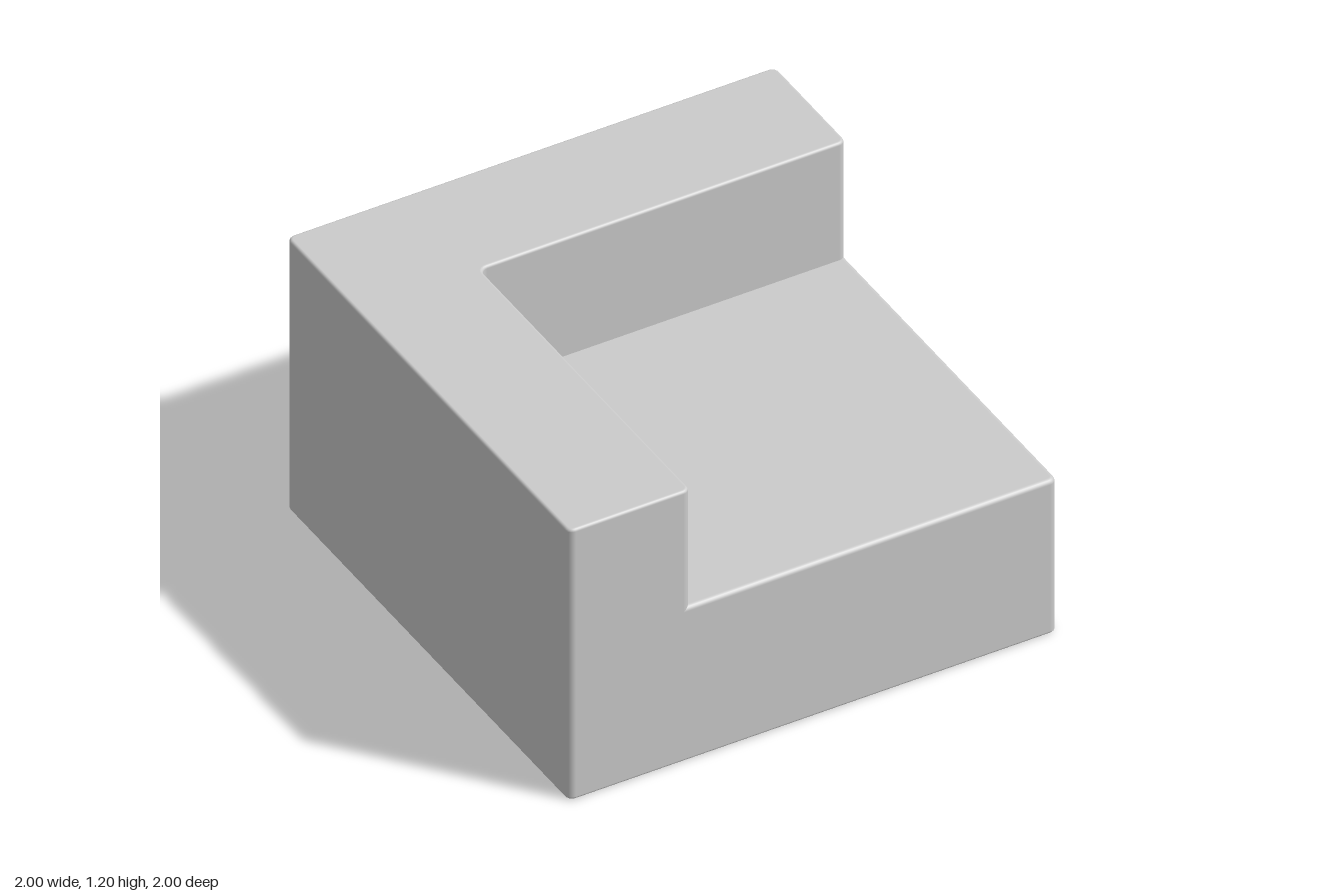
import * as THREE from 'three';

const STEPS = 5;

// Rounded outline from right-angled corners [x, z, radius], as points with outward normals.
function roundedOutline(corners) {
  const n = corners.length;
  const points = [];
  const corner = i => new THREE.Vector2(corners[(i + n) % n][0], corners[(i + n) % n][1]);
  for (let i = 0; i < n; i++) {
    const p = corner(i), r = corners[i][2];
    const d1 = p.clone().sub(corner(i - 1)).normalize();
    const d2 = corner(i + 1).sub(p).normalize();
    const side = Math.sign(d1.cross(d2));
    const centre = p.clone().addScaledVector(d1, -r).addScaledVector(d2, r);
    for (let k = 0; k <= STEPS; k++) {
      const t = (k / STEPS) * Math.PI / 2, c = Math.cos(t), s = Math.sin(t);
      const normal = new THREE.Vector2(d1.y * c + d2.y * s, -d1.x * c - d2.x * s);
      points.push({ p: centre.clone().addScaledVector(normal, side * r), normal });
    }
  }
  return points;
}

// Upright slab with a rounded-over lower and/or upper rim; an end without a rim is left open.
function slab(name, corners, y0, y1, lowerRim, upperRim, material) {
  const outline = roundedOutline(corners);
  const n = outline.length;
  const rings = [];
  const addRim = (y, r, up) => {
    if (!r) { rings.push({ y, inset: 0, tilt: 0 }); return; }
    for (let k = 0; k <= STEPS; k++) {
      const tilt = (up ? k : STEPS - k) / STEPS * Math.PI / 2;
      const rise = r * (1 - Math.sin(tilt));
      rings.push({ y: up ? y - rise : y + rise, inset: r * (1 - Math.cos(tilt)), tilt: up ? tilt : -tilt });
    }
  };
  addRim(y0, lowerRim, false);
  addRim(y1, upperRim, true);

  const positions = [], normals = [], index = [];
  for (const { y, inset, tilt } of rings) {
    for (const { p, normal } of outline) {
      positions.push(p.x - normal.x * inset, y, p.y - normal.y * inset);
      normals.push(normal.x * Math.cos(tilt), Math.sin(tilt), normal.y * Math.cos(tilt));
    }
  }
  for (let j = 0; j < rings.length - 1; j++) {
    for (let i = 0; i < n; i++) {
      const a = j * n + i, b = j * n + (i + 1) % n;
      index.push(a, a + n, b, b, a + n, b + n);
    }
  }
  // Flat ends
  const cap = (start, up) => {
    const flat = [];
    for (let i = start; i < start + n; i++) flat.push(new THREE.Vector2(positions[i * 3], positions[i * 3 + 2]));
    for (const [a, b, c] of THREE.ShapeUtils.triangulateShape(flat, [])) {
      index.push(start + a, start + (up ? c : b), start + (up ? b : c));
    }
  };
  if (lowerRim) cap(0, false);
  if (upperRim) cap((rings.length - 1) * n, true);

  const geometry = new THREE.BufferGeometry();
  geometry.setAttribute('position', new THREE.Float32BufferAttribute(positions, 3));
  geometry.setAttribute('normal', new THREE.Float32BufferAttribute(normals, 3));
  geometry.setIndex(index);
  const mesh = new THREE.Mesh(geometry, material);
  mesh.name = name;
  return mesh;
}

export function createModel() {
  const group = new THREE.Group();
  group.name = 'cornerSofa';
  const material = new THREE.MeshStandardMaterial({ color: 0xcccccc, side: THREE.DoubleSide });
  const r = 0.03;
  const seatBottom = 0.66, seatTop = 0.68, top = 1.2;

  // Square plinth
  group.add(slab('base', [[-1, -1, r], [1, -1, r], [1, 1, r], [-1, 1, r]], 0, seatBottom, 0.012, 0, material));

  // Seat surface, tucked under the back and arm
  group.add(slab('seat', [[-0.56, -0.56, 0.02], [1, -0.56, 0.02], [1, 1, r], [-0.56, 1, 0.02]],
    seatBottom, seatTop, 0, 0.018, material));

  // L-shaped back and arm
  group.add(slab('backAndArm', [[-1, -1, r], [1, -1, r], [1, -0.495, r], [-0.5, -0.495, r], [-0.5, 1, r], [-1, 1, r]],
    seatBottom, top, 0, 0.012, material));

  return group;
}
